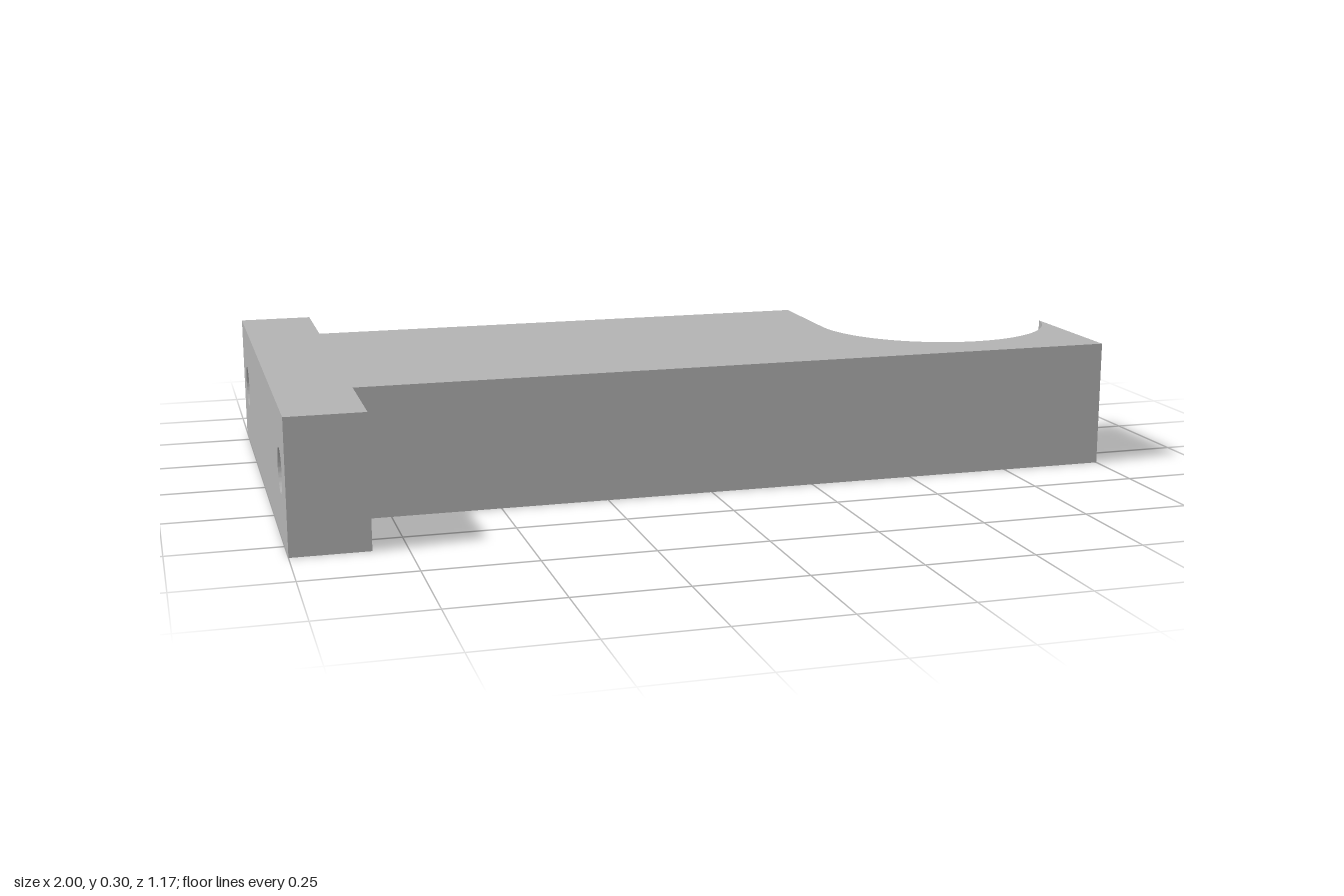
import * as THREE from 'three';
import { toCreasedNormals } from 'three/addons/utils/BufferGeometryUtils.js';

const HEIGHT = 0.3;
const FLANGE_X = -0.826; // inner face of the mounting flange

function extrude(shape, depth) {
  return new THREE.ExtrudeGeometry(shape, { depth, bevelEnabled: false, curveSegments: 48 });
}

export function createModel() {
  const model = new THREE.Group();
  const grey = new THREE.MeshStandardMaterial({ color: 0xb2b2b2 });
  grey.name = 'plain grey';

  function add(name, geometry) {
    const mesh = new THREE.Mesh(toCreasedNormals(geometry, 0.5), grey);
    mesh.name = name;
    model.add(mesh);
  }

  // Arm: plan outline with a round cradle cut from its back corner (shape y = -z)
  const halfWidth = 0.336, r = 0.293, cx = 0.717, cy = 0.073;
  const plan = new THREE.Shape();
  plan.moveTo(FLANGE_X, -halfWidth);
  plan.lineTo(1, -halfWidth);
  plan.lineTo(1, 0);
  plan.absarc(cx, cy, r, Math.atan2(-cy, 1 - cx), -Math.PI, true);
  plan.lineTo(cx - r, halfWidth);
  plan.lineTo(FLANGE_X, halfWidth);
  plan.closePath();
  add('arm', extrude(plan, HEIGHT).rotateX(-Math.PI / 2));

  // Mounting flange: cross plate with one bolt hole in each ear (shape x = z)
  const halfSpan = 0.585;
  const plate = new THREE.Shape();
  plate.moveTo(-halfSpan, 0);
  plate.lineTo(halfSpan, 0);
  plate.lineTo(halfSpan, HEIGHT);
  plate.lineTo(-halfSpan, HEIGHT);
  plate.closePath();
  for (const [z, y] of [[0.457, 0.156], [-0.459, 0.15]]) {
    plate.holes.push(new THREE.Path().absarc(z, y, 0.05, 0, Math.PI * 2, true));
  }
  add('mountingFlange', extrude(plate, 1 + FLANGE_X).rotateY(-Math.PI / 2).translate(FLANGE_X, 0, 0));

  return model;
}
